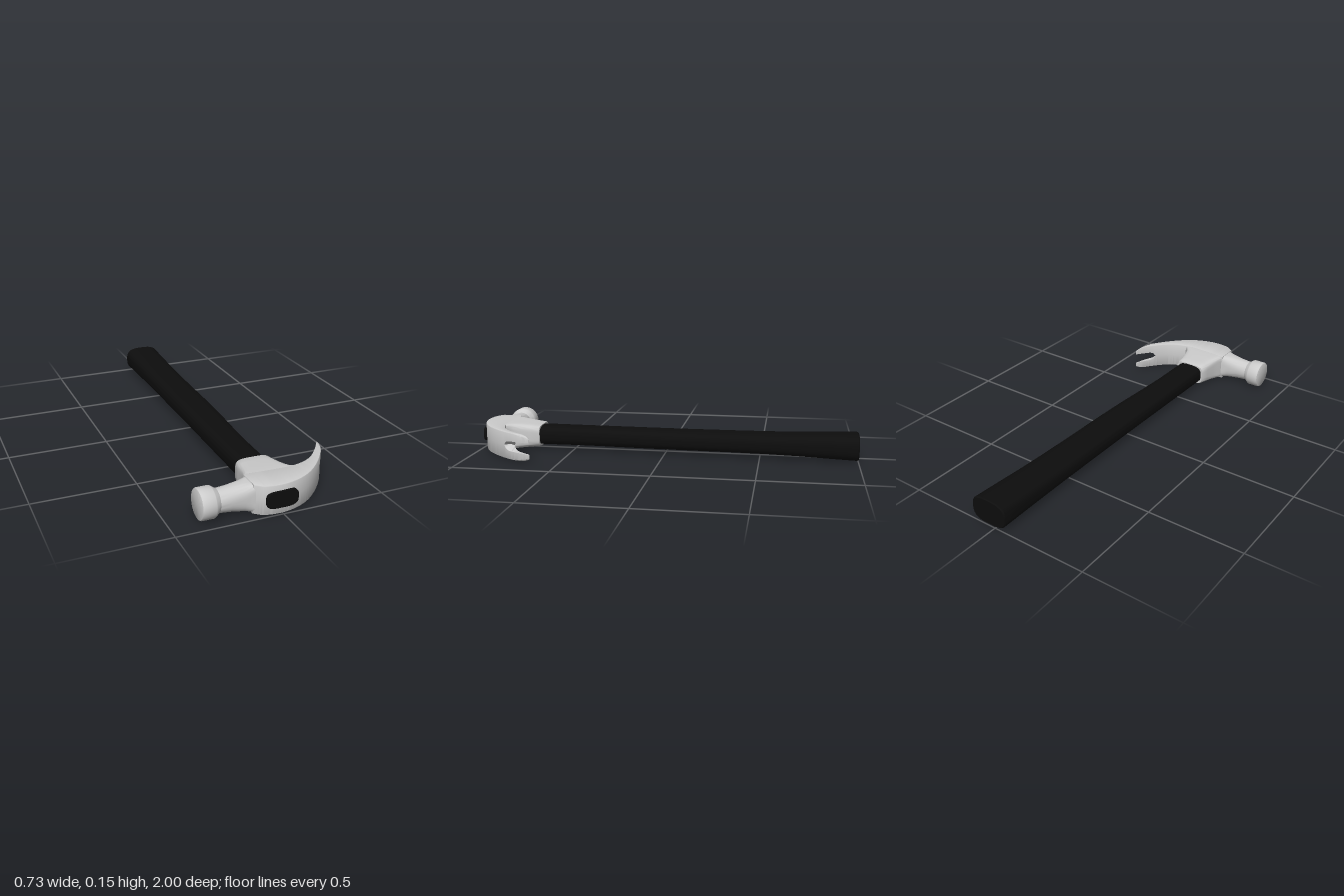
import * as THREE from 'three';
import { toCreasedNormals } from 'three/addons/utils/BufferGeometryUtils.js';

const YC = 0.073; // mid height of the whole tool
const SIDES = 40;

// Rounded-rectangle outline (superellipse) as [u, v] pairs
function outline(a, b, n) {
  const pts = [];
  for (let i = 0; i < SIDES; i++) {
    const t = ((i + 0.5) / SIDES) * Math.PI * 2, c = Math.cos(t), s = Math.sin(t);
    pts.push([a * Math.sign(c) * Math.abs(c) ** (2 / n), b * Math.sign(s) * Math.abs(s) ** (2 / n)]);
  }
  return pts;
}

// Skins a list of rings, caps both ends and turns the faces outward
function loft(rings, crease = 0.6) {
  const tris = [], n = rings[0].length;
  for (let i = 0; i < rings.length - 1; i++) {
    for (let j = 0; j < n; j++) {
      const k = (j + 1) % n, p = rings[i], q = rings[i + 1];
      tris.push([p[j], p[k], q[k]], [p[j], q[k], q[j]]);
    }
  }
  const cap = (ring, flip) => {
    const mid = ring.reduce((m, p) => m.add(p), new THREE.Vector3()).divideScalar(n);
    ring.forEach((p, j) => {
      const r = ring[(j + 1) % n];
      tris.push(flip ? [mid, r, p] : [mid, p, r]);
    });
  };
  cap(rings[0], true);
  cap(rings[rings.length - 1], false);
  const cross = new THREE.Vector3();
  const volume = tris.reduce((v, [a, b, c]) => v + a.dot(cross.crossVectors(b, c)), 0);
  if (volume < 0) tris.forEach((t) => t.reverse());
  const geo = new THREE.BufferGeometry().setFromPoints(tris.flat());
  return toCreasedNormals(geo, crease);
}

// Sections [z, xMin, xMax, halfHeight, squareness] along z
const loftZ = (sections) => loft(sections.map(([z, x0, x1, h, n]) =>
  outline((x1 - x0) / 2, h, n).map(([u, v]) => new THREE.Vector3((x0 + x1) / 2 + u, YC + v, z))));

// Sections [x, halfHeight, halfDepth, squareness] along x
const loftX = (sections, zc) => loft(sections.map(([x, h, d, n]) =>
  outline(d, h, n).map(([u, v]) => new THREE.Vector3(x, YC + v, zc + u))));

// Plan curve through [x, z] points
const planCurve = (pts) => new THREE.CatmullRomCurve3(pts.map(([x, z]) => new THREE.Vector3(x, 0, z)), false, 'centripetal');

// One half of the crossbar and claw, split at mid height; the slot opens near the tip
function clawHalf(side) {
  const inner = planCurve([[-0.125, 0.846], [-0.08, 0.846], [0, 0.85], [0.08, 0.852],
    [0.14, 0.846], [0.217, 0.815], [0.296, 0.737], [0.362, 0.643]]);
  const outer = planCurve([[-0.125, 0.955], [-0.085, 0.984], [0, 0.994], [0.08, 0.977],
    [0.16, 0.935], [0.25, 0.85], [0.325, 0.745], [0.365, 0.645]]);
  const slot = (x) => {
    const u = THREE.MathUtils.clamp((x - 0.29) / 0.025, 0, 1);
    return 0.024 * Math.sqrt(1 - (1 - u) ** 2) + 0.005 * Math.max(0, (x - 0.29) / 0.075);
  };
  const edge = (x) => 0.071 - 0.021 * Math.max(0, (x - 0.32) / 0.045) ** 2.5;
  const rings = [], steps = 110;
  for (let i = 0; i <= steps; i++) {
    const a = inner.getPoint(i / steps), b = outer.getPoint(i / steps);
    const w = Math.min(0.3, 0.006 / a.distanceTo(b)), r = 0.005;
    const corner = (s, atSlot, inset) => {
      const p = a.clone().lerp(b, s);
      p.y = YC + side * (atSlot ? slot(p.x) : edge(p.x) - inset);
      return p;
    };
    rings.push([
      corner(0, true), corner(0, false, r), corner(w * 0.3, false, r * 0.3), corner(w, false, 0),
      corner(1 - w, false, 0), corner(1 - w * 0.3, false, r * 0.3), corner(1, false, r), corner(1, true),
    ]);
  }
  return loft(rings, 0.7);
}

export function createModel() {
  const model = new THREE.Group();
  const steel = new THREE.MeshStandardMaterial({ color: 0xcccccc });
  const black = new THREE.MeshStandardMaterial({ color: 0x0d0d0d });
  const add = (parent, name, geo, mat) => {
    const mesh = new THREE.Mesh(geo, mat);
    mesh.name = name;
    parent.add(mesh);
  };

  // Handle, flaring at the grip end and running through the eye of the head
  add(model, 'handle', loftZ([
    [-1, -0.062, 0.128, 0.064, 3], [-0.994, -0.066, 0.132, 0.068, 3],
    [-0.85, -0.066, 0.127, 0.063, 3], [-0.7, -0.067, 0.121, 0.057, 3],
    [-0.55, -0.068, 0.117, 0.053, 3], [-0.35, -0.069, 0.112, 0.051, 3],
    [-0.1, -0.07, 0.108, 0.05, 3], [0.1, -0.071, 0.101, 0.05, 3],
    [0.3, -0.073, 0.088, 0.05, 3], [0.45, -0.074, 0.08, 0.05, 3],
    [0.68, -0.076, 0.078, 0.051, 3], [0.85, -0.08, 0.073, 0.045, 3.5],
    [0.997, -0.081, 0.072, 0.042, 3.5], [1, -0.078, 0.069, 0.039, 3.5],
  ]), black);

  const head = new THREE.Group();
  head.name = 'head';
  model.add(head);

  // Striking face, chamfer and neck
  add(head, 'strikingFaceAndNeck', loftX([
    [-0.365, 0.066, 0.066, 2], [-0.363, 0.07, 0.07, 2], [-0.357, 0.073, 0.073, 2],
    [-0.302, 0.073, 0.073, 2], [-0.298, 0.071, 0.071, 2], [-0.275, 0.055, 0.053, 2],
    [-0.22, 0.059, 0.053, 2.2], [-0.16, 0.065, 0.055, 2.8],
    [-0.13, 0.068, 0.057, 4], [-0.105, 0.0705, 0.062, 7],
  ], 0.902), steel);

  // Socket that narrows onto the handle
  add(head, 'socket', loftZ([
    [0.68, -0.084, 0.086, 0.056, 4.5], [0.685, -0.087, 0.088, 0.058, 4.5],
    [0.73, -0.094, 0.094, 0.062, 5], [0.78, -0.103, 0.101, 0.0665, 6],
    [0.815, -0.111, 0.108, 0.069, 8], [0.835, -0.118, 0.118, 0.07, 9],
    [0.85, -0.122, 0.135, 0.0705, 10], [0.88, -0.12, 0.135, 0.0705, 10],
  ]), steel);

  // Crossbar and split claw
  add(head, 'upperClaw', clawHalf(1), steel);
  add(head, 'lowerClaw', clawHalf(-1), steel);

  return model;
}
